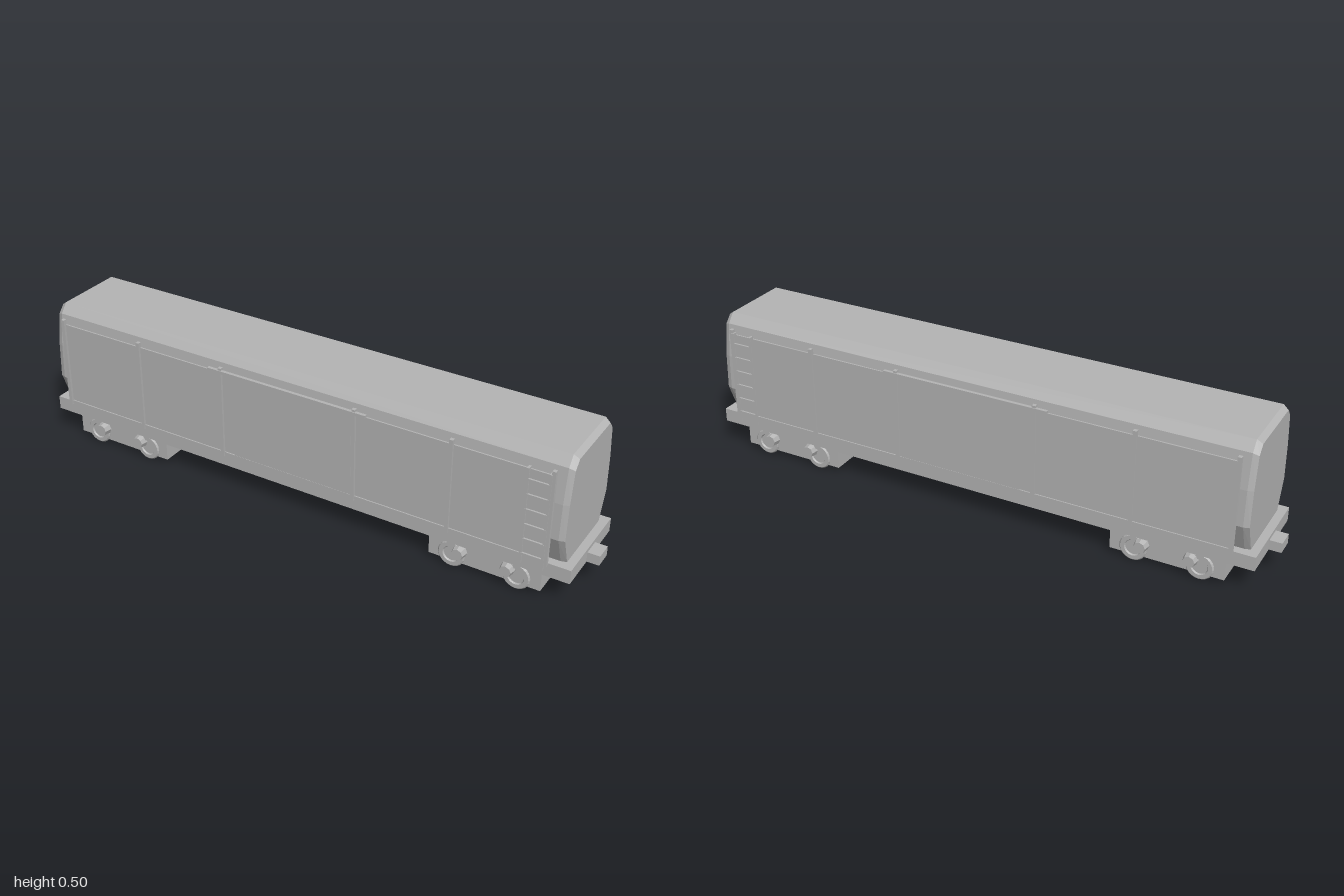
import * as THREE from 'three';
import { ConvexGeometry } from 'three/addons/geometries/ConvexGeometry.js';

export function createModel() {
  const wagon = new THREE.Group();
  wagon.name = 'freightWagon';
  const grey = new THREE.MeshStandardMaterial({ color: 0xb4b4b4 });
  grey.name = 'wagon grey';

  function add(name, geometry, parent = wagon) {
    const mesh = new THREE.Mesh(geometry, grey);
    mesh.name = name;
    parent.add(mesh);
    return mesh;
  }
  // Box given by its limits on each axis
  function block(name, x0, x1, y0, y1, z0, z1, parent = wagon) {
    const mesh = add(name, new THREE.BoxGeometry(x1 - x0, y1 - y0, z1 - z0), parent);
    mesh.position.set((x0 + x1) / 2, (y0 + y1) / 2, (z0 + z1) / 2);
    return mesh;
  }

  // Hull: faceted cross-section [half width, height] with bevelled ends
  const outer = [[0.127, 0.135], [0.165, 0.23], [0.161, 0.35], [0.146, 0.465], [0.12, 0.497]];
  const inner = [[0.122, 0.135], [0.159, 0.23], [0.154, 0.35], [0.139, 0.457], [0.115, 0.484]];
  const points = [];
  for (const [x, profile] of [[0.915, outer], [0.933, inner]]) {
    for (const [z, y] of profile) {
      for (const sx of [-1, 1]) for (const sz of [-1, 1]) points.push(new THREE.Vector3(sx * x, y, sz * z));
    }
  }
  add('hull', new ConvexGeometry(points));

  // Underframe and couplers
  block('underframe', -0.96, 0.96, 0.088, 0.135, -0.156, 0.156);
  block('couplerLeft', 0.95, 1, 0.09, 0.123, -0.03, 0.03);
  block('couplerRight', -1, -0.95, 0.09, 0.123, -0.03, 0.03);

  // Wheel: rim around a recessed disc, axis turned to z
  const wheelGeometry = new THREE.LatheGeometry([
    [0, -0.007], [0.041, -0.007], [0.045, -0.004], [0.045, 0.004],
    [0.041, 0.008], [0.028, 0.008], [0.025, 0.003], [0, 0.003],
  ].map(([r, y]) => new THREE.Vector2(r, y)), 24).toNonIndexed();
  wheelGeometry.computeVertexNormals();
  wheelGeometry.rotateX(Math.PI / 2);
  const axleBoxGeometry = new THREE.CylinderGeometry(0.019, 0.024, 0.026, 8).toNonIndexed();
  axleBoxGeometry.computeVertexNormals();
  axleBoxGeometry.rotateX(Math.PI / 2);

  // Bogies
  for (const end of [-1, 1]) {
    const bogie = new THREE.Group();
    bogie.name = end > 0 ? 'bogieLeft' : 'bogieRight';
    bogie.position.x = end * 0.685;
    wagon.add(bogie);
    block('bogieFrame', -0.185, 0.185, 0.02, 0.09, -0.147, 0.147, bogie);
    for (const sx of [-1, 1]) {
      for (const side of [-1, 1]) {
        const wheel = add('wheel', wheelGeometry, bogie);
        wheel.position.set(sx * 0.107, 0.046, side * 0.145);
        const box = add('axleBox', axleBoxGeometry, bogie);
        box.position.set(sx * 0.079, 0.065, side * 0.159);
        if (side < 0) wheel.rotation.y = box.rotation.y = Math.PI;
      }
    }
  }

  // Side fittings; pairs of z limits are mirrored for the back
  for (const side of [1, -1]) {
    const group = new THREE.Group();
    group.name = side > 0 ? 'frontSide' : 'backSide';
    wagon.add(group);
    const fit = (name, x0, x1, y0, y1, z0, z1) =>
      block(name, x0, x1, y0, y1, Math.min(side * z0, side * z1), Math.max(side * z0, side * z1), group);

    fit('sidePanel', -0.888, 0.888, 0.138, 0.44, 0.162, 0.167);
    fit('lowerRail', -0.888, 0.888, 0.139, 0.15, 0.163, 0.171);
    fit('slidingDoor', -0.2, 0.232, 0.145, 0.443, 0.163, 0.17);
    fit('doorRail', -0.29, 0.284, 0.442, 0.452, 0.168, 0.179);
    for (const x of [-0.888, -0.572, -0.246, 0.242, 0.567, 0.885]) {
      fit('rib', x - 0.006, x + 0.006, 0.135, 0.459, 0.163, 0.176);
    }

    // Ladder
    for (const x of [0.809, 0.878]) {
      fit('ladderRail', x - 0.004, x + 0.004, 0.118, 0.448, 0.173, 0.178);
      fit('ladderMount', x - 0.004, x + 0.004, 0.438, 0.448, 0.163, 0.18);
    }
    for (let i = 0; i < 6; i++) {
      const y = 0.155 + i * 0.051;
      fit('ladderRung', 0.809, 0.878, y - 0.003, y + 0.003, 0.173, 0.179);
    }
  }
  return wagon;
}
